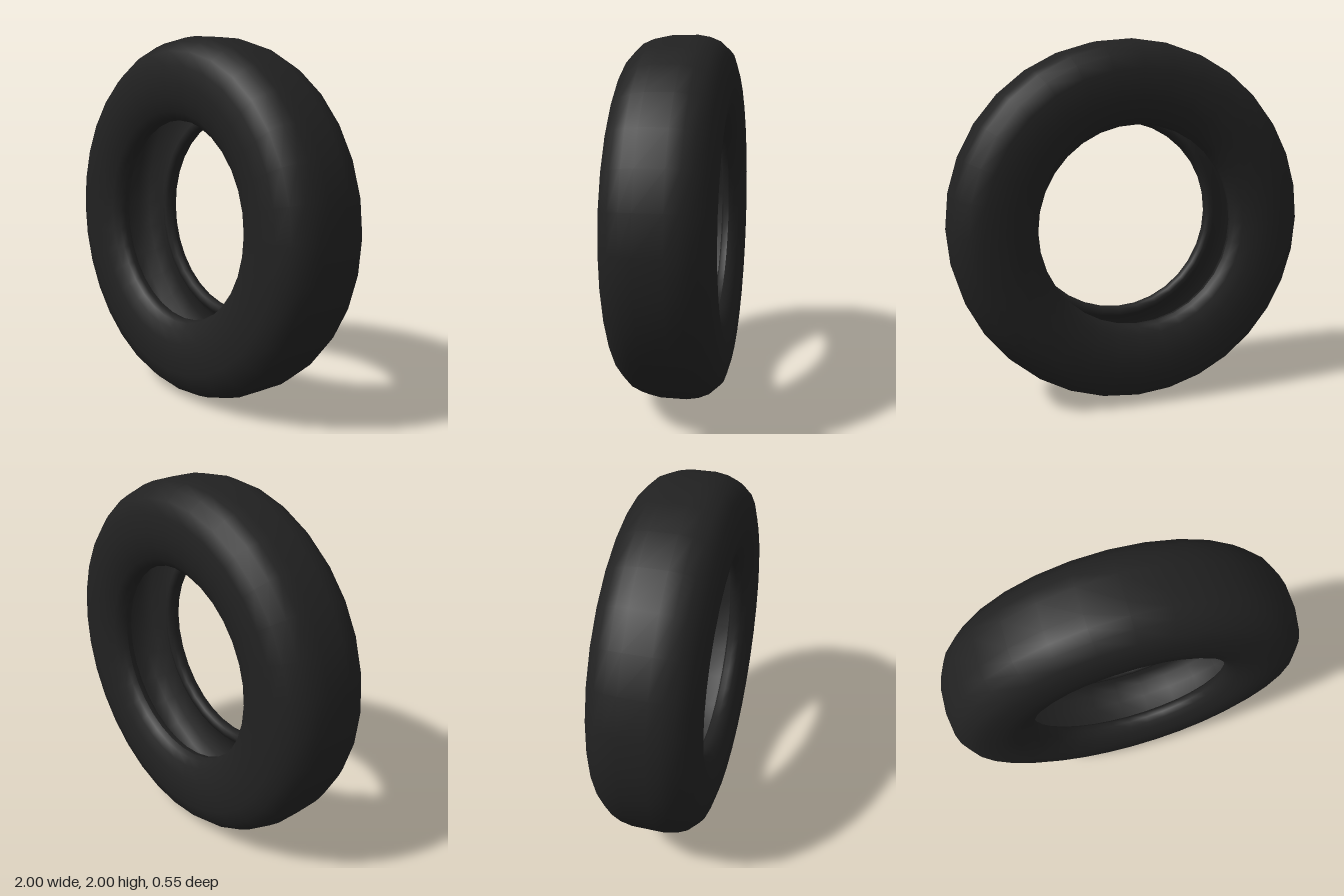
import * as THREE from 'three';

export function createModel() {
  const group = new THREE.Group();
  const rubber = new THREE.MeshStandardMaterial({ color: 0x212121 });
  rubber.name = 'black rubber';

  // Half sections as [radius, distance from the middle plane]
  const outer = [
    [0.55, 0.18], [0.562, 0.212], [0.6, 0.24], [0.67, 0.266], [0.75, 0.275], [0.84, 0.267],
    [0.915, 0.245], [0.965, 0.19], [0.988, 0.135], [1, 0.07],
  ];
  const inner = [
    [0.92, 0.07], [0.9, 0.15], [0.85, 0.2], [0.75, 0.222], [0.67, 0.205], [0.61, 0.165],
    [0.6, 0.14], [0.575, 0.136], [0.556, 0.15], [0.55, 0.18],
  ];

  // Mirror each half across the middle plane to close the section
  const front = (half) => half.map(([r, z]) => new THREE.Vector2(r, z));
  const back = (half) => half.map(([r, z]) => new THREE.Vector2(r, -z));
  const section = [
    ...back(outer),
    ...front(outer).reverse(),
    ...front(inner).reverse().slice(1),
    ...back(inner),
  ];

  // Hollow tyre with rounded shoulders and a bead around each opening
  const geometry = new THREE.LatheGeometry(section, 32);
  geometry.rotateX(Math.PI / 2);
  const tyre = new THREE.Mesh(geometry, rubber);
  tyre.name = 'tyre';
  tyre.position.y = 1;
  group.add(tyre);

  return group;
}
